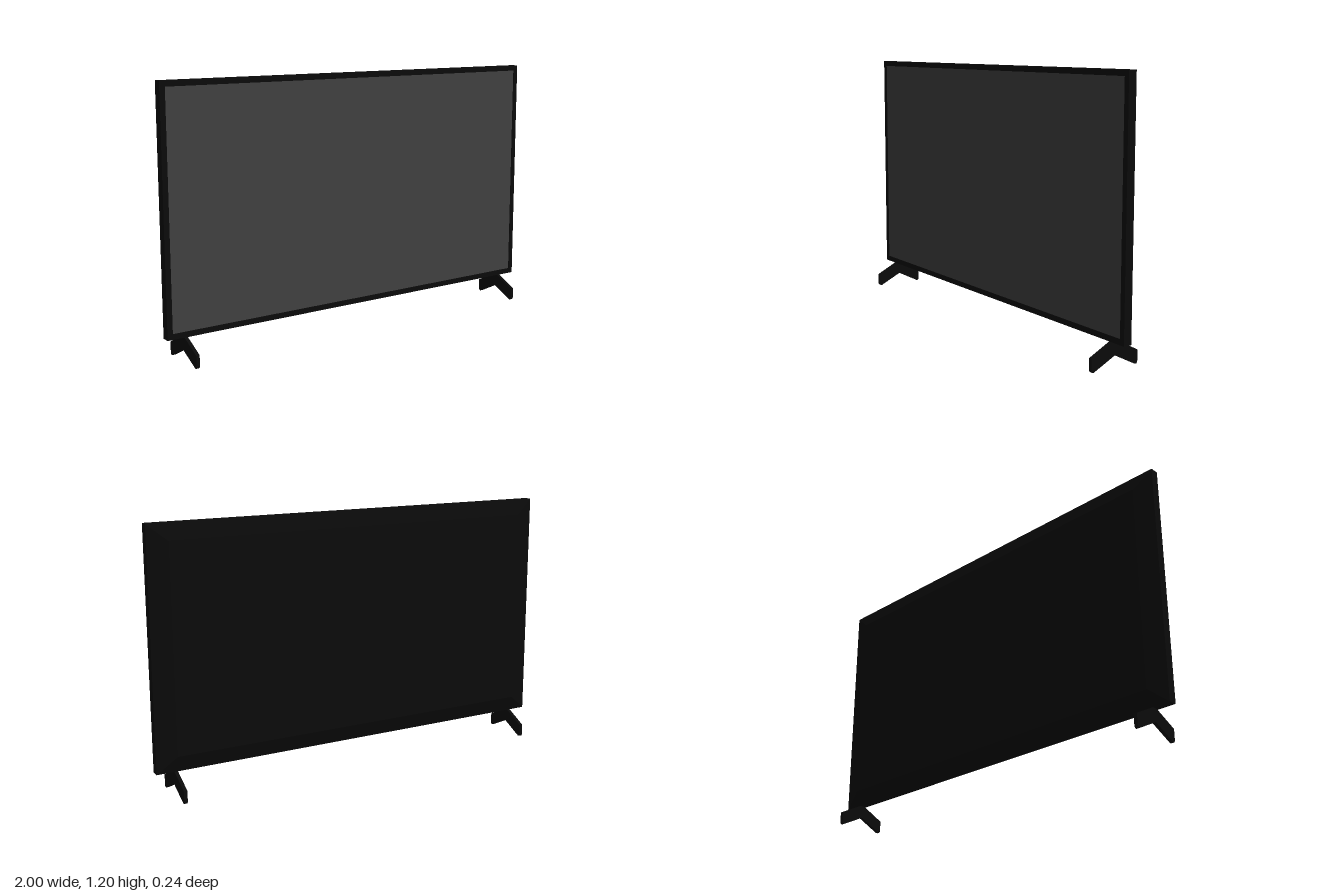
import * as THREE from 'three';

const black = new THREE.MeshStandardMaterial({ color: 0x0a0a0a });
const grey = new THREE.MeshStandardMaterial({ color: 0x404040 });

const BOTTOM = 0.115, TOP = 1.203;
const HEIGHT = TOP - BOTTOM, MID = (TOP + BOTTOM) / 2;
const FRONT = 0.024, SEAM = -0.014, BACK = -0.036;

function add(parent, name, geometry, material) {
  const mesh = new THREE.Mesh(geometry, material);
  mesh.name = name;
  parent.add(mesh);
  return mesh;
}

function rectangle(PathType, x0, y0, x1, y1) {
  return new PathType([[x0, y0], [x1, y0], [x1, y1], [x0, y1]].map(p => new THREE.Vector2(...p)));
}

export function createModel() {
  const model = new THREE.Group();
  model.name = 'television';

  // Bezel: rectangular ring around the screen
  const ring = rectangle(THREE.Shape, -1, BOTTOM, 1, TOP);
  ring.holes.push(rectangle(THREE.Path, -0.975, BOTTOM + 0.025, 0.975, TOP - 0.025));
  const bezel = new THREE.ExtrudeGeometry(ring, { depth: FRONT - SEAM, bevelEnabled: false });
  add(model, 'bezel', bezel.translate(0, 0, SEAM), black);

  // Screen: thin panel just behind the bezel's front edge
  const screen = new THREE.BoxGeometry(1.95, HEIGHT - 0.05, 0.03);
  add(model, 'screen', screen.translate(0, MID, FRONT - 0.017), grey);

  // Back cover: box whose rear face is drawn in to give sloping edges
  const cover = new THREE.BoxGeometry(2, HEIGHT, SEAM - BACK);
  const pos = cover.attributes.position;
  for (let i = 0; i < pos.count; i++) {
    if (pos.getZ(i) < 0) {
      pos.setX(i, pos.getX(i) * 0.91);
      pos.setY(i, pos.getY(i) * 0.865);
    }
  }
  cover.computeVertexNormals();
  add(model, 'backCover', cover.translate(0, MID, (SEAM + BACK) / 2), black);

  // Feet: inverted V plates, profile drawn in (z, y) and extruded along x
  const half = [[0.012, 0.115], [0.12, 0.06], [0.12, 0.009], [0.116, 0.002], [0.108, 0.001]];
  const outline = [
    ...half, [0, 0.055],
    ...half.map(([z, y]) => [-z, y]).reverse(),
  ].map(p => new THREE.Vector2(...p));
  const thickness = 0.016;
  const foot = new THREE.ExtrudeGeometry(new THREE.Shape(outline), { depth: thickness, bevelEnabled: false });
  foot.translate(0, 0, -thickness / 2).rotateY(Math.PI / 2);
  for (const [name, side] of [['leftFoot', 1], ['rightFoot', -1]]) {
    add(model, name, foot, black).position.x = side * 0.91;
  }

  return model;
}
